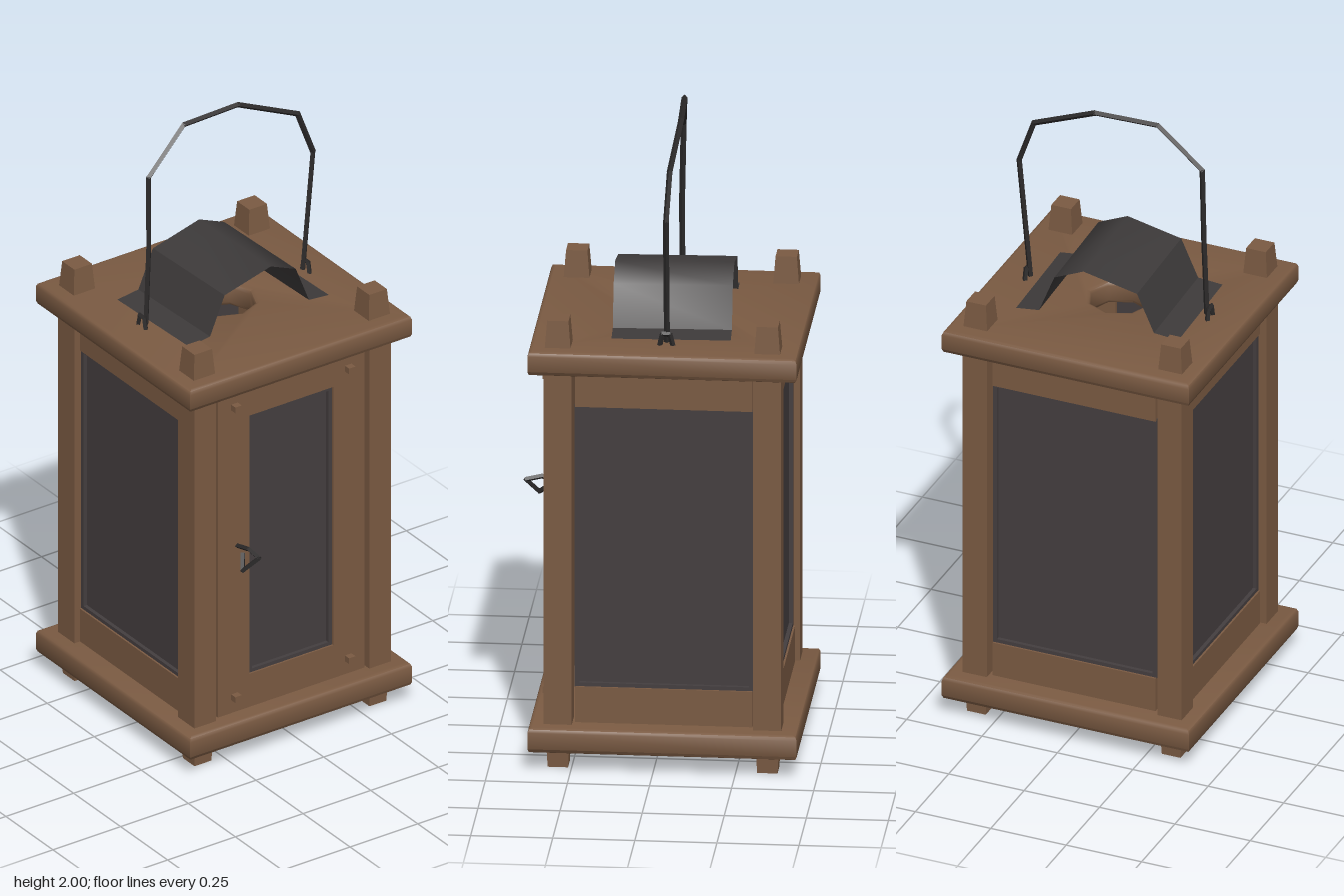
import * as THREE from 'three';
import { toCreasedNormals } from 'three/addons/utils/BufferGeometryUtils.js';

const material = (name, color, side = THREE.FrontSide) => {
  const m = new THREE.MeshStandardMaterial({ color, side });
  m.name = name;
  return m;
};

export function createModel() {
  const wood = material('wood', 0x7a5a42);
  const pane = material('smoked pane', 0x443e3f);
  const iron = material('iron', 0x3d3a3a, THREE.DoubleSide);
  const wire = material('wire', 0x2b2929);
  const CZ = -0.03; // depth of the lantern's axis

  const lantern = new THREE.Group();
  lantern.name = 'lantern';

  const add = (parent, name, geometry, mat) => {
    const mesh = new THREE.Mesh(geometry, mat);
    mesh.name = name;
    parent.add(mesh);
    return mesh;
  };
  // Box given by its limits on each axis
  const box = (parent, name, mat, x0, x1, y0, y1, z0, z1) => {
    const mesh = add(parent, name, new THREE.BoxGeometry(x1 - x0, y1 - y0, z1 - z0), mat);
    mesh.position.set((x0 + x1) / 2, (y0 + y1) / 2, (z0 + z1) / 2);
    return mesh;
  };
  // Square peg with its own top and bottom widths
  const peg = (name, top, bottom, x, y0, y1, z) => {
    const g = new THREE.CylinderGeometry(top / Math.SQRT2, bottom / Math.SQRT2, y1 - y0, 4).rotateY(Math.PI / 4);
    const mesh = add(lantern, name, toCreasedNormals(g, 0.3), wood);
    mesh.position.set(x, (y0 + y1) / 2, z);
    return mesh;
  };
  // Bent wire made of short four-sided rods
  const bentWire = (name, points, radius) => {
    const group = new THREE.Group();
    group.name = name;
    const v = points.map((p) => new THREE.Vector3(...p));
    for (let i = 0; i < v.length - 1; i++) {
      const dir = v[i + 1].clone().sub(v[i]);
      const g = new THREE.CylinderGeometry(radius, radius, dir.length() + radius * 0.6, 4);
      const rod = add(group, name + 'Segment', toCreasedNormals(g, 0.3), wire);
      rod.position.copy(v[i]).addScaledVector(dir, 0.5);
      rod.quaternion.setFromUnitVectors(new THREE.Vector3(0, 1, 0), dir.normalize());
    }
    lantern.add(group);
  };

  // Softly bevelled square boards; the upper one has a smoke hole
  const board = (name, y0, y1, holeRadius) => {
    const bevel = 0.014, h = 0.41 - bevel;
    const shape = new THREE.Shape([[-h, -h], [h, -h], [h, h], [-h, h]].map((p) => new THREE.Vector2(...p)));
    if (holeRadius) {
      const hole = [];
      for (let i = 0; i < 8; i++) {
        const a = -i * Math.PI / 4;
        hole.push(new THREE.Vector2(holeRadius * Math.cos(a), holeRadius * Math.sin(a)));
      }
      shape.holes.push(new THREE.Path(hole));
    }
    const g = new THREE.ExtrudeGeometry(shape, {
      depth: y1 - y0 - 2 * bevel, bevelSize: bevel, bevelThickness: bevel, bevelSegments: 2,
    }).rotateX(-Math.PI / 2);
    add(lantern, name, toCreasedNormals(g, 0.9), wood).position.set(0, y0 + bevel, CZ);
  };
  board('baseBoard', 0.06, 0.14, 0);
  board('roofBoard', 1.273, 1.35, 0.11);

  // Corner posts with feet below and finials above
  for (const x of [-0.323, 0.323]) {
    for (const z of [0.292, -0.346]) {
      box(lantern, 'cornerPost', wood, x - 0.04, x + 0.04, 0.13, 1.285, z - 0.043, z + 0.043);
      peg('foot', 0.07, 0.062, x, 0, 0.07, z);
      peg('finial', 0.065, 0.08, x, 1.34, 1.435, z);
    }
  }

  // Large pane between two rails, built facing +z and turned to each wall
  const wall = (name, angle) => {
    const group = new THREE.Group();
    group.name = name;
    box(group, 'lowerRail', wood, -0.27, 0.27, 0.143, 0.257, -0.035, 0);
    box(group, 'upperRail', wood, -0.27, 0.27, 1.157, 1.263, -0.035, 0);
    paneWithRim(group, 0.272, 0.255, 1.163);
    group.position.set(0.345 * Math.sin(angle), 0, CZ + 0.345 * Math.cos(angle));
    group.rotation.y = angle;
    lantern.add(group);
  };
  // Recessed pane with a narrow raised rim
  const paneWithRim = (group, w, y0, y1) => {
    const t = 0.014;
    box(group, 'pane', pane, -w, w, y0, y1, -0.03, -0.018);
    for (const s of [-1, 1]) {
      box(group, 'paneSideRim', pane, s * (w - t / 2) - t / 2, s * (w - t / 2) + t / 2, y0, y1, -0.03, -0.006);
    }
    box(group, 'paneLowerRim', pane, -w, w, y0, y0 + t, -0.03, -0.006);
    box(group, 'paneUpperRim', pane, -w, w, y1 - t, y1, -0.03, -0.006);
  };
  wall('leftWall', Math.PI / 2);
  wall('rightWall', -Math.PI / 2);
  wall('backWall', Math.PI);

  // Front door: stiles, rails, narrow pane and hinge pins
  const door = new THREE.Group();
  door.name = 'door';
  door.position.z = 0.328;
  for (const s of [-1, 1]) {
    box(door, 'doorStile', wood, s * 0.213 - 0.058, s * 0.213 + 0.058, 0.26, 1.16, -0.04, 0);
    for (const y of [0.2, 1.21]) {
      box(door, 'doorPin', wood, s * 0.21 - 0.012, s * 0.21 + 0.012, y - 0.01, y + 0.01, -0.01, 0.022);
    }
  }
  box(door, 'doorLowerRail', wood, -0.271, 0.271, 0.145, 0.26, -0.04, 0);
  box(door, 'doorUpperRail', wood, -0.271, 0.271, 1.16, 1.265, -0.04, 0);
  paneWithRim(door, 0.155, 0.258, 1.162);
  lantern.add(door);

  // Bent wire door latch
  bentWire('doorLatch', [
    [-0.2, 0.72, 0.32], [-0.2, 0.738, 0.39], [-0.195, 0.728, 0.438],
    [-0.23, 0.678, 0.4], [-0.205, 0.712, 0.365],
  ], 0.008);

  // Arched sheet over the smoke hole
  const profile = [[-0.265, 1.354], [-0.185, 1.362], [-0.13, 1.487], [0.045, 1.528],
    [0.14, 1.487], [0.19, 1.362], [0.265, 1.354]];
  const arch = new THREE.PlaneGeometry(1, 1, 6, 1).rotateX(-Math.PI / 2);
  const pos = arch.attributes.position;
  for (let i = 0; i < pos.count; i++) {
    const [x, y] = profile[i % 7];
    pos.setXYZ(i, x, y, pos.getZ(i) * 0.362);
  }
  const hood = add(lantern, 'smokeHood', toCreasedNormals(arch, 0.8), iron);
  hood.position.z = -0.035;
  hood.rotation.y = 0.037;

  // Carrying handle and the staples that hold it
  bentWire('handle', [
    [-0.288, 1.36, -0.03], [-0.278, 1.62, -0.03], [-0.275, 1.86, -0.035], [-0.135, 1.992, -0.05],
    [0.07, 1.992, -0.058], [0.28, 1.9, -0.042], [0.332, 1.755, -0.035], [0.295, 1.36, -0.035],
  ], 0.009);
  for (const x of [-0.3, 0.305]) {
    bentWire('handleStaple', [
      [x, 1.34, -0.056], [x, 1.385, -0.045], [x, 1.385, -0.022], [x, 1.34, -0.012],
    ], 0.008);
  }

  return lantern;
}
